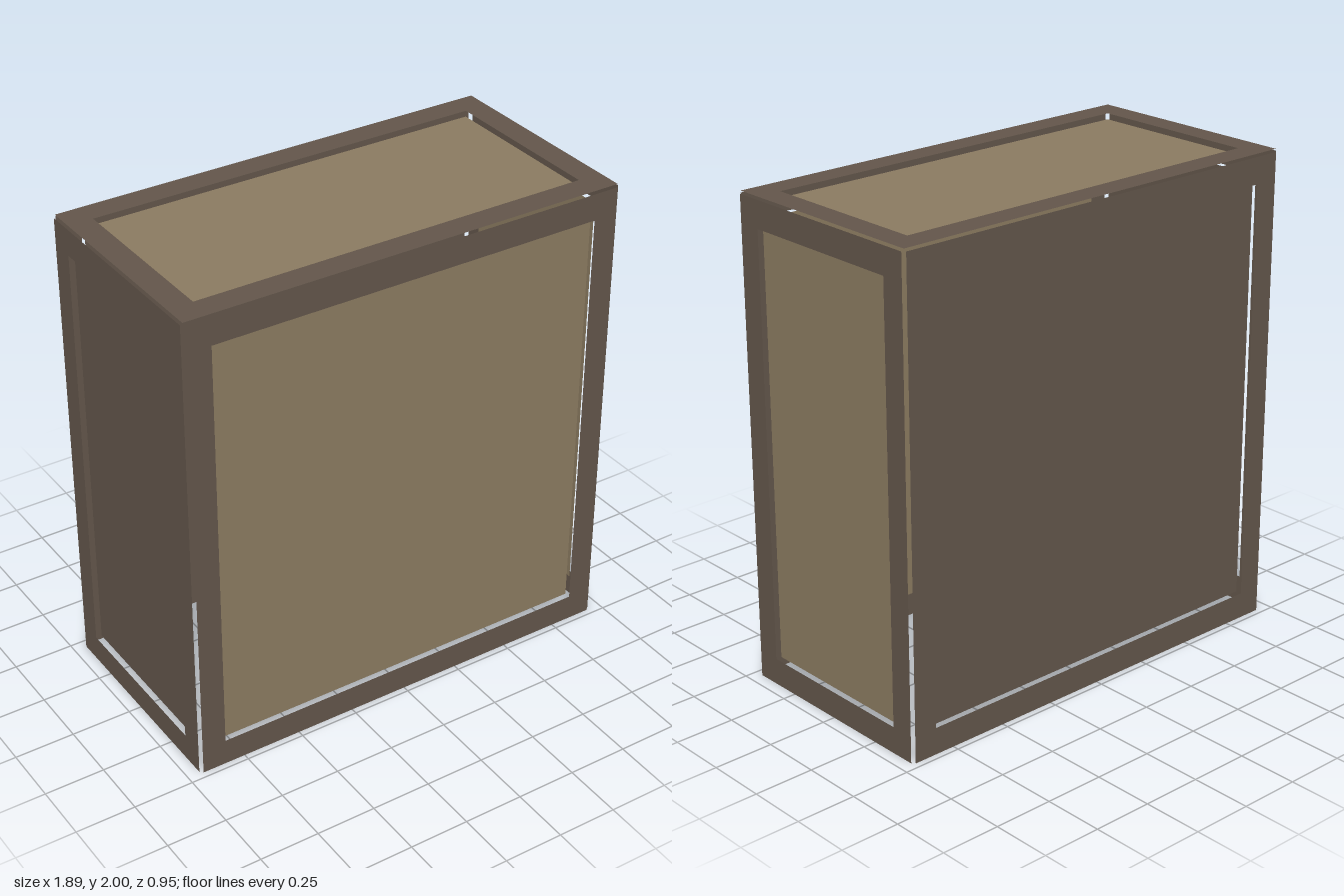
import * as THREE from 'three';

const RECESS = 0.025; // how far each infill sits behind its frame

export function createModel() {
  const darkWood = new THREE.MeshStandardMaterial({ color: 0x62554a, side: THREE.DoubleSide });
  darkWood.name = 'darkWood';
  const tanPanel = new THREE.MeshStandardMaterial({ color: 0x8a7a60, side: THREE.DoubleSide });
  tanPanel.name = 'tanPanel';

  // Thin flat frame with a recessed infill, facing +z before it is turned
  function framedPanel(name, width, height, openWidth, openHeight, infillMaterial) {
    const group = new THREE.Group();
    group.name = name;

    const rectangle = (path, w, h) => {
      path.moveTo(-w / 2, -h / 2);
      path.lineTo(w / 2, -h / 2);
      path.lineTo(w / 2, h / 2);
      path.lineTo(-w / 2, h / 2);
      path.closePath();
      return path;
    };
    const outline = rectangle(new THREE.Shape(), width, height);
    outline.holes.push(rectangle(new THREE.Path(), openWidth, openHeight));
    const frame = new THREE.Mesh(new THREE.ShapeGeometry(outline), darkWood);
    frame.name = name + 'Frame';

    const infill = new THREE.Mesh(new THREE.PlaneGeometry(openWidth, openHeight), infillMaterial);
    infill.name = name + 'Infill';
    infill.position.z = -RECESS;

    group.add(frame, infill);
    return group;
  }

  const model = new THREE.Group();
  model.name = 'framedBox';

  // Four walls, open underneath, with a slim gap at every corner
  const walls = [
    { name: 'frontWall', width: 1.87, open: 1.667, x: 0, z: 0.474, turn: 0, infill: tanPanel },
    { name: 'backWall', width: 1.87, open: 1.667, x: 0, z: -0.474, turn: Math.PI, infill: darkWood },
    { name: 'leftWall', width: 0.925, open: 0.725, x: 0.947, z: 0, turn: Math.PI / 2, infill: tanPanel },
    { name: 'rightWall', width: 0.925, open: 0.725, x: -0.947, z: 0, turn: -Math.PI / 2, infill: darkWood },
  ];
  for (const w of walls) {
    const wall = framedPanel(w.name, w.width, 1.99, w.open, 1.767, w.infill);
    wall.position.set(w.x, 0.995, w.z);
    wall.rotation.y = w.turn;
    model.add(wall);
  }

  // Top panel
  const top = framedPanel('top', 1.88, 0.935, 1.675, 0.725, tanPanel);
  top.position.y = 2;
  top.rotation.x = -Math.PI / 2;
  model.add(top);

  return model;
}
